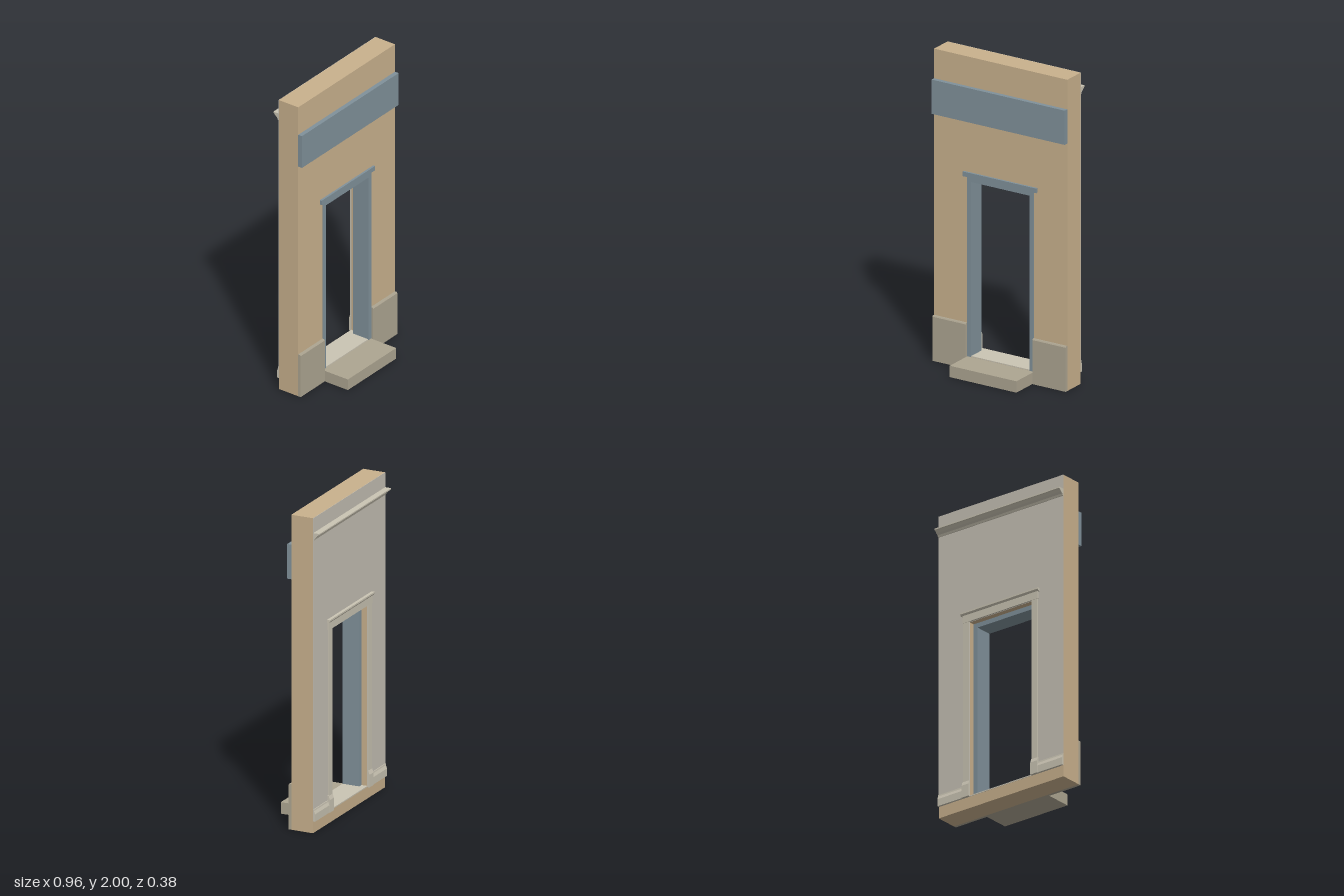
import * as THREE from 'three';

export function createModel() {
  const model = new THREE.Group();
  model.name = 'doorwayWall';

  const paint = (name, color) => {
    const m = new THREE.MeshStandardMaterial({ color });
    m.name = name;
    return m;
  };
  const render = paint('sandRender', 0xc9b18d);
  const blue = paint('blueGreyPaint', 0x80919a);
  const stone = paint('stone', 0xada591);
  const plaster = paint('innerPlaster', 0xc6c1b5);
  const trim = paint('paleTrim', 0xcac4b3);

  const HALF = 0.48, DOOR = 0.24, HEAD = 1.23, FLOOR = 0.075;
  const FRONT = -0.002, BACK = -0.15;

  const add = (name, geometry, material) => {
    const mesh = new THREE.Mesh(geometry, material);
    mesh.name = name;
    model.add(mesh);
    return mesh;
  };
  // box given by its limits on each axis
  const box = (name, mat, x0, x1, y0, y1, z0, z1) => {
    const g = new THREE.BoxGeometry(x1 - x0, y1 - y0, z1 - z0);
    g.translate((x0 + x1) / 2, (y0 + y1) / 2, (z0 + z1) / 2);
    return add(name, g, mat);
  };
  // moulding with a [z, y] profile running along x
  const moulding = (name, mat, x0, x1, profile) => {
    const shape = new THREE.Shape(profile.map(([z, y]) => new THREE.Vector2(z, y)));
    const g = new THREE.ExtrudeGeometry(shape, { depth: x1 - x0, bevelEnabled: false });
    g.rotateY(-Math.PI / 2);
    g.translate(x1, 0, 0);
    return add(name, g, mat);
  };
  // wall slab with a door notch, or a slab running on below the door
  const slab = (name, mat, bottom, z0, z1) => {
    const s = new THREE.Shape();
    s.moveTo(-HALF, bottom);
    if (bottom === FLOOR) {
      s.lineTo(-DOOR, FLOOR).lineTo(-DOOR, HEAD).lineTo(DOOR, HEAD).lineTo(DOOR, FLOOR);
    } else {
      const hole = new THREE.Path();
      hole.moveTo(-DOOR, FLOOR).lineTo(-DOOR, HEAD).lineTo(DOOR, HEAD).lineTo(DOOR, FLOOR);
      hole.closePath();
      s.holes.push(hole);
    }
    s.lineTo(HALF, bottom).lineTo(HALF, 2).lineTo(-HALF, 2);
    s.closePath();
    const g = new THREE.ExtrudeGeometry(s, { depth: z1 - z0, bevelEnabled: false });
    g.translate(0, 0, z0);
    return add(name, g, mat);
  };

  // wall and its inner face
  slab('wall', render, 0, BACK + 0.002, FRONT);
  slab('innerPlaster', plaster, FLOOR, BACK, BACK + 0.002);

  // outside: fascia band, lintel, step
  box('fasciaBand', blue, -HALF, HALF, 1.59, 1.81, FRONT, 0.026);
  box('lintelCap', blue, -0.265, 0.265, HEAD, 1.26, FRONT, 0.012);
  box('doorStep', stone, -DOOR, DOOR, 0, 0.073, FRONT, 0.19);
  box('threshold', trim, -DOOR, DOOR, FLOOR, 0.082, BACK, 0.001);

  // door frame head
  box('frameHead', blue, -DOOR, DOOR, 1.2, HEAD, -0.112, 0.002);

  // parts repeated either side of the door
  for (const side of [-1, 1]) {
    const label = side > 0 ? 'left' : 'right';
    const pair = (a, b) => (side > 0 ? [a, b] : [-b, -a]);
    box(label + 'FrameJamb', blue, ...pair(0.21, DOOR), FLOOR, 1.2, -0.112, 0.002);
    moulding(label + 'StonePlinth', stone, ...pair(DOOR, HALF),
      [[FRONT, 0], [0.016, 0], [0.016, 0.283], [0.012, 0.29], [FRONT, 0.29]]);
    box(label + 'Casing', trim, ...pair(DOOR, 0.284), 0.16, 1.235, -0.158, BACK);
    moulding(label + 'CasingBlock', trim, ...pair(0.238, 0.29),
      [[BACK, FLOOR], [-0.166, FLOOR], [-0.166, 0.155], [-0.158, 0.18], [BACK, 0.18]]);
    moulding(label + 'Skirting', trim, ...pair(0.288, HALF),
      [[BACK, FLOOR], [-0.162, FLOOR], [-0.162, 0.122], [-0.155, 0.142], [-0.154, 0.152], [BACK, 0.152]]);
  }

  // inside: header over the door and crown moulding
  box('casingHeader', trim, -0.288, 0.288, 1.232, 1.282, -0.16, BACK);
  moulding('casingHeaderCap', trim, -0.298, 0.298,
    [[BACK, 1.28], [-0.163, 1.28], [-0.17, 1.29], [-0.17, 1.3], [BACK, 1.3]]);
  moulding('crownMoulding', trim, -HALF, HALF,
    [[BACK, 1.86], [-0.155, 1.86], [-0.16, 1.872], [-0.172, 1.882], [-0.184, 1.895], [-0.19, 1.898], [-0.19, 1.906], [BACK, 1.906]]);

  return model;
}
